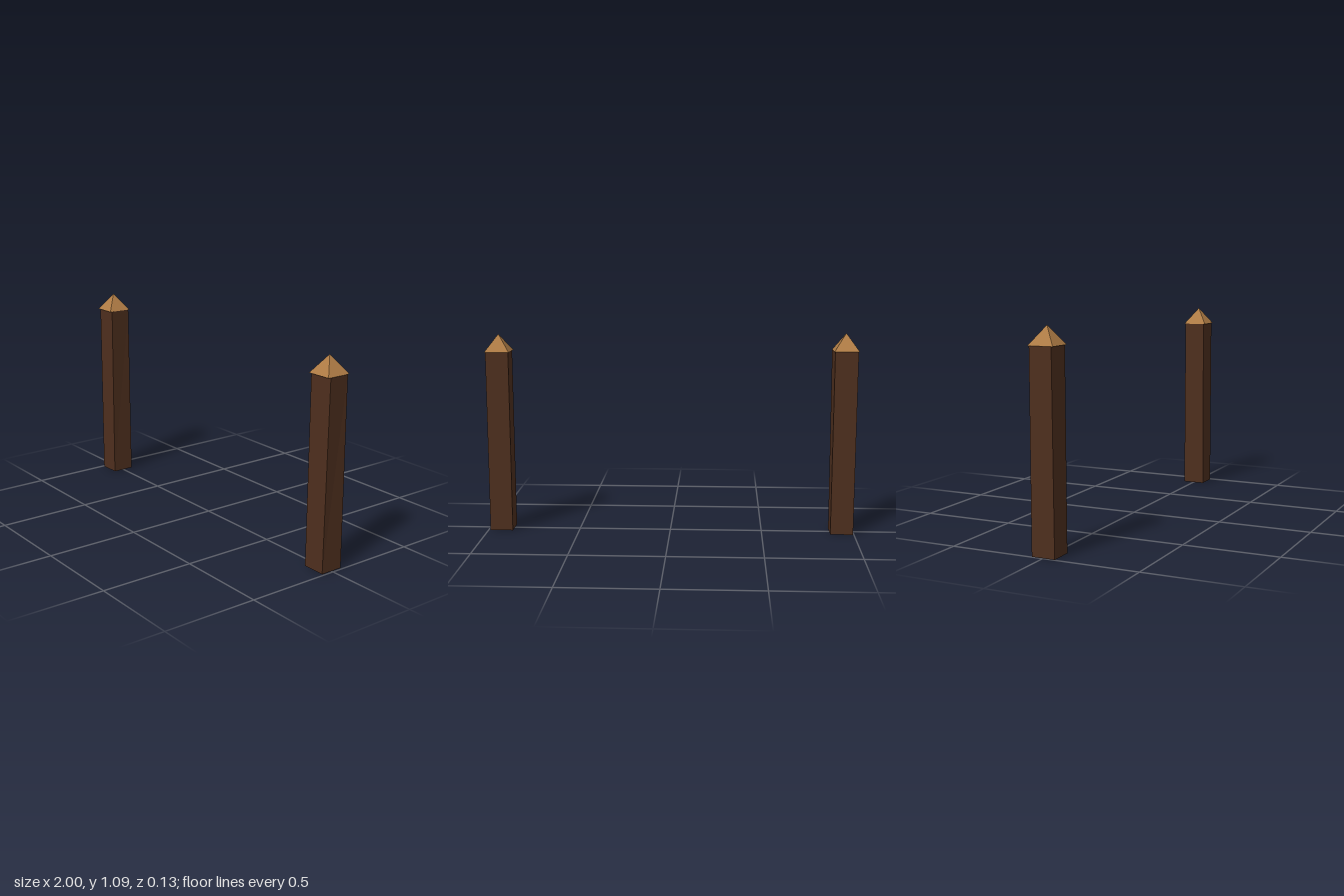
import * as THREE from 'three';

const wood = new THREE.MeshStandardMaterial({ color: 0x4e2f1e, flatShading: true });
const capWood = new THREE.MeshStandardMaterial({ color: 0xaf7c45, flatShading: true });

const POST_WIDTH = 0.123;
const CAP_WIDTH = 0.133;

// One square post with a pyramid cap; x is the centre, height is where the cap sits.
function makePost(name, x, height, lean) {
  const post = new THREE.Group();
  post.name = name;

  const shaftGeometry = new THREE.BoxGeometry(POST_WIDTH, height, POST_WIDTH);
  shaftGeometry.translate(0, height / 2, 0);
  // Hand-cut look: the front top corners pull back, one also drifts outward.
  const p = shaftGeometry.attributes.position;
  for (let i = 0; i < p.count; i++) {
    if (p.getY(i) > height / 2 && p.getZ(i) > 0) {
      p.setZ(i, p.getZ(i) - 0.006);
      if (p.getX(i) > 0) p.setX(i, p.getX(i) + lean);
    }
  }
  shaftGeometry.computeVertexNormals();
  const shaft = new THREE.Mesh(shaftGeometry, wood);
  shaft.name = 'shaft';
  shaft.position.x = x;

  // Four-sided pyramid aligned with the post
  const capGeometry = new THREE.ConeGeometry(CAP_WIDTH / Math.SQRT2, 0.093, 4);
  capGeometry.rotateY(Math.PI / 4);
  const cap = new THREE.Mesh(capGeometry, capWood);
  cap.name = 'cap';
  cap.position.set(x, height + 0.0465, 0);

  post.add(shaft, cap);
  return post;
}

export function createModel() {
  const model = new THREE.Group();
  model.name = 'gatePosts';
  model.add(
    makePost('rightPost', -0.9335, 0.996, 0.006),
    makePost('leftPost', 0.927, 0.983, 0.009),
  );
  return model;
}
